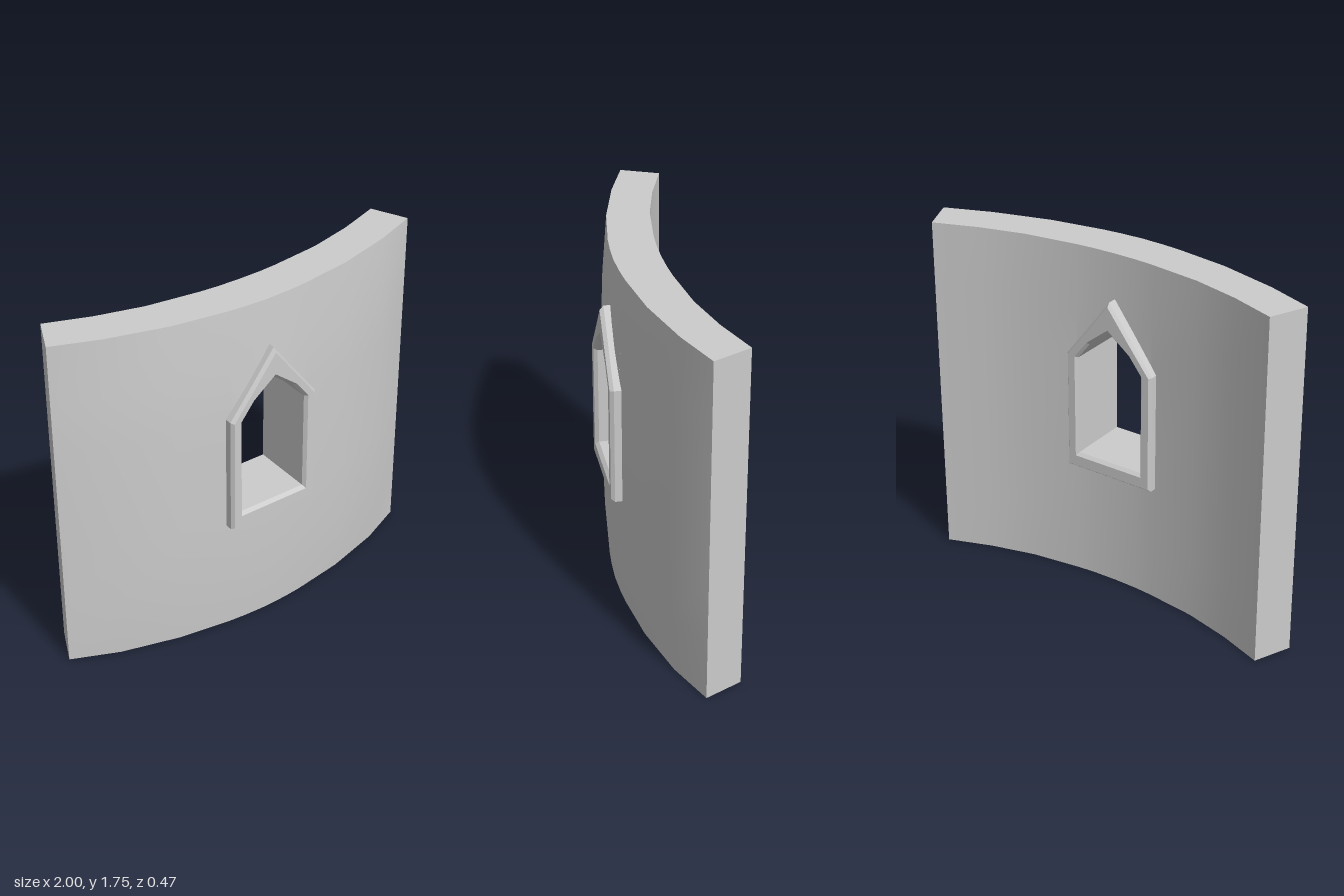
import * as THREE from 'three';
import { toCreasedNormals } from 'three/addons/utils/BufferGeometryUtils.js';

// Collects quads (corners counter-clockwise from outside) into a geometry
function quadBuilder() {
  const pos = [];
  return {
    quad(a, b, c, d) { for (const p of [a, b, c, a, c, d]) pos.push(...p); },
    build() {
      const g = new THREE.BufferGeometry();
      g.setAttribute('position', new THREE.Float32BufferAttribute(pos, 3));
      g.computeVertexNormals();
      return g;
    },
  };
}

const HEIGHT = 1.75, SILL = 0.65;

// Wall plan, centre to end: front x, front z, back x, back z, top of the hole
const half = [
  [0, 0.2, 0, -0.05, 1.45],
  [0.12, 0.195, 0.12, -0.053, 1.33],
  [0.21, 0.187, 0.21, -0.06, 1.22],
  [0.48, 0.145, 0.47, -0.095, 0],
  [0.77, 0.065, 0.7, -0.155, 0],
  [1, -0.055, 0.92, -0.235, 0],
];
const plan = [
  ...half.slice(1).reverse().map(([a, b, c, d, e]) => [-a, b, -c, d, e]),
  ...half,
];

// The front leans back slightly towards the top and the foot
function lean(y) {
  if (y < 0.3) return 0.02 * (1 - y / 0.3);
  if (y < 1.2) return 0;
  if (y < 1.4) return 0.005 * (y - 1.2) / 0.2;
  return 0.005 + 0.027 * (y - 1.4) / 0.35;
}
const front = (c, y) => [c[0], y, c[1] - (Math.abs(c[0]) === 1 ? 0 : lean(y))];
const back = (c, y) => [c[2], y, c[3]];

function wallGeometry() {
  const q = quadBuilder();
  for (let i = 0; i < plan.length - 1; i++) {
    const l = plan[i], r = plan[i + 1];
    // Columns at the window are split into a band below and a band above it
    const bands = l[4] && r[4]
      ? [() => [0, 0.3, SILL], (c) => [c[4], 1.46, HEIGHT]]
      : [() => [0, 0.3, SILL, 1.2, 1.46, HEIGHT]];
    for (const rows of bands) {
      const yl = rows(l), yr = rows(r);
      for (let j = 0; j < yl.length - 1; j++) {
        q.quad(front(l, yl[j]), front(r, yr[j]), front(r, yr[j + 1]), front(l, yl[j + 1]));
        q.quad(back(r, yr[j]), back(l, yl[j]), back(l, yl[j + 1]), back(r, yr[j + 1]));
      }
    }
    // Top and foot
    q.quad(front(l, HEIGHT), front(r, HEIGHT), back(r, HEIGHT), back(l, HEIGHT));
    q.quad(back(l, 0), back(r, 0), front(r, 0), front(l, 0));
  }
  // End faces
  const a = plan[0], b = plan[plan.length - 1];
  q.quad(back(a, 0), front(a, 0), front(a, HEIGHT), back(a, HEIGHT));
  q.quad(front(b, 0), back(b, 0), back(b, HEIGHT), front(b, HEIGHT));
  return toCreasedNormals(q.build(), 0.5);
}

// Pointed window outline, counter-clockwise
const outline = (w, sill, spring, hx, hy, apex) => [
  [-w, sill], [w, sill], [w, spring], [hx, hy], [0, apex], [-hx, hy], [-w, spring],
];

// Chamfered surround on both faces, joined by the lining of the opening
function surroundGeometry() {
  const outer = outline(0.24, 0.61, 1.21, 0.12, 1.365, 1.525);
  const outerFace = outline(0.228, 0.622, 1.206, 0.113, 1.355, 1.505);
  const innerFace = outline(0.19, 0.675, 1.205, 0.12, 1.295, 1.39);
  const inner = outline(0.178, 0.69, 1.198, 0.112, 1.283, 1.37);
  const loops = [
    [outer, -0.095], [outer, 0.217], [outerFace, 0.235], [innerFace, 0.235],
    [inner, 0.217], [inner, -0.095], [innerFace, -0.11], [outerFace, -0.11],
  ].map(([pts, z]) => pts.map(([x, y]) => [x, y, z]));
  const q = quadBuilder();
  loops.forEach((lo, k) => {
    const hi = loops[(k + 1) % loops.length];
    for (let i = 0; i < lo.length; i++) {
      const n = (i + 1) % lo.length;
      q.quad(lo[i], lo[n], hi[n], hi[i]);
    }
  });
  return q.build();
}

export function createModel() {
  const group = new THREE.Group();
  group.name = 'curvedWallWithWindow';
  const add = (name, geometry, flatShading) => {
    const mesh = new THREE.Mesh(
      geometry, new THREE.MeshStandardMaterial({ color: 0xcccccc, flatShading }));
    mesh.name = name;
    group.add(mesh);
  };
  add('wall', wallGeometry(), false);
  add('windowSurround', surroundGeometry(), true);
  return group;
}
